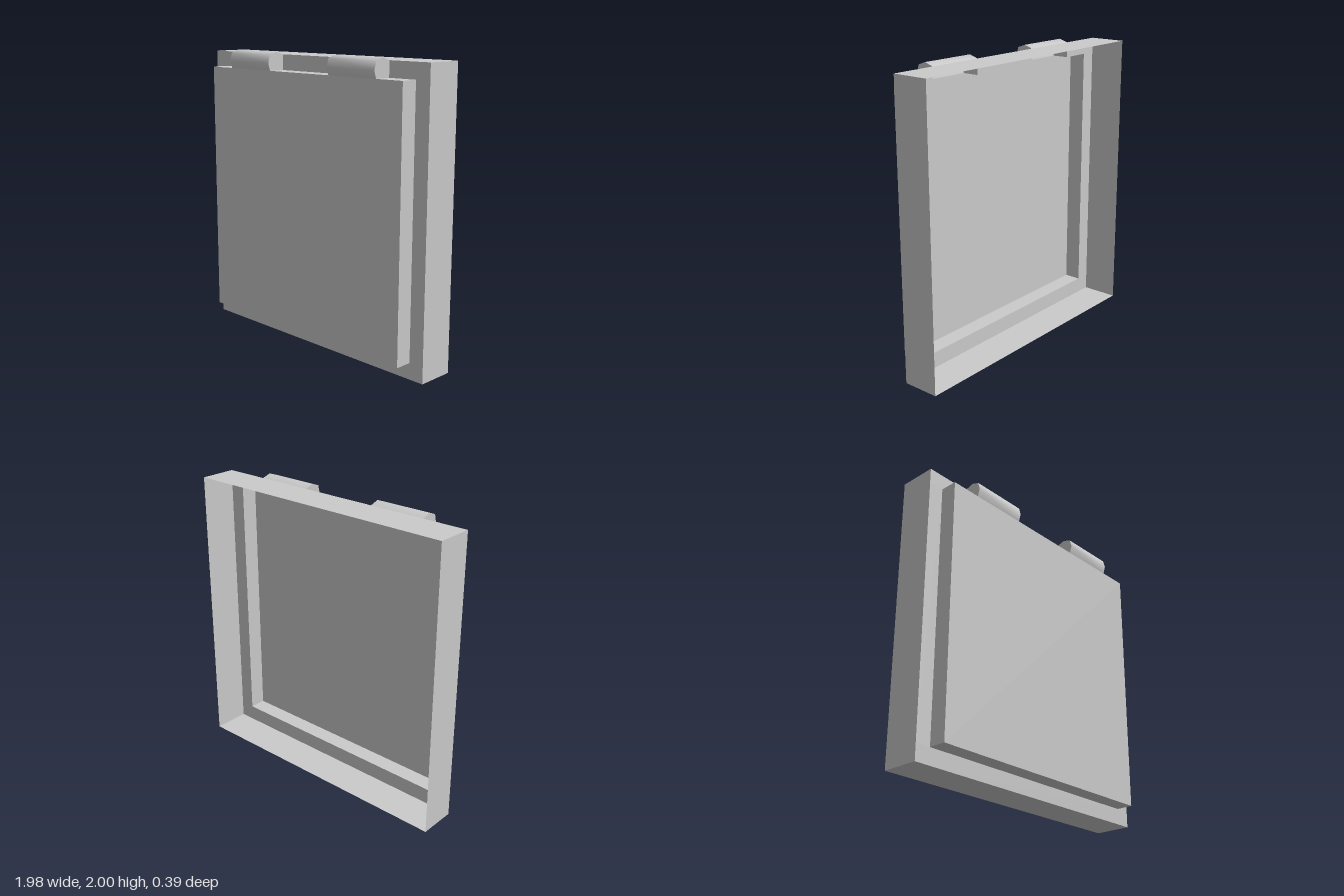
import * as THREE from 'three';

const W = 0.99, H = 1.98;             // outer rim half width and height
const P = 0.883, PB = 0.11, PT = 1.875; // panel half width, bottom, top
const BACK = -0.195, MID = 0.062, FRONT = 0.18;
const HINGES = [[-0.675, -0.275], [0.275, 0.675]];
// x ranges along the top edge left free by the hinges
const gaps = (half) => [[-half, -0.675], [-0.275, 0.275], [0.675, half]];

const material = new THREE.MeshStandardMaterial({ color: 0xcccccc, side: THREE.DoubleSide });

function mesh(name, geometry) {
  const m = new THREE.Mesh(geometry, material);
  m.name = name;
  return m;
}

// Flat four-cornered sheets, corners counter-clockwise seen from outside
function sheets(name, quads) {
  const pos = [];
  for (const [a, b, c, d] of quads) pos.push(...a, ...b, ...c, ...a, ...c, ...d);
  const g = new THREE.BufferGeometry();
  g.setAttribute('position', new THREE.Float32BufferAttribute(pos, 3));
  g.computeVertexNormals();
  return mesh(name, g);
}

const facing = (x0, x1, y0, y1, z) => [[x0, y0, z], [x1, y0, z], [x1, y1, z], [x0, y1, z]];
const topWall = (x0, x1, y, z0, z1) => [[x0, y, z1], [x1, y, z1], [x1, y, z0], [x0, y, z0]];
const bottomWall = (x0, x1, y, z0, z1) => [[x0, y, z0], [x1, y, z0], [x1, y, z1], [x0, y, z1]];
const rightWall = (x, y0, y1, z0, z1) => [[x, y0, z1], [x, y0, z0], [x, y1, z0], [x, y1, z1]];
const leftWall = (x, y0, y1, z0, z1) => [[x, y0, z0], [x, y0, z1], [x, y1, z1], [x, y1, z0]];

// Rounded hinge barrel, hollow and open towards the inside
function hinge(x0, x1) {
  const profile = [[MID, H], [0.125, 2.0], [0.181, 1.98], [0.195, 1.925], [FRONT, PT]];
  const group = new THREE.Group();
  group.name = 'hinge';

  const pos = [], index = [];
  profile.forEach(([z, y], i) => {
    pos.push(x0, y, z, x1, y, z);
    if (i) {
      const a = 2 * i - 2;
      index.push(a, a + 2, a + 3, a, a + 3, a + 1);
    }
  });
  const barrel = new THREE.BufferGeometry();
  barrel.setAttribute('position', new THREE.Float32BufferAttribute(pos, 3));
  barrel.setIndex(index);
  barrel.computeVertexNormals();
  group.add(mesh('hingeBarrel', barrel));

  // End caps: the shape lies in (-z, y) and is turned to face +x or -x
  for (const [x, side] of [[x0, -1], [x1, 1]]) {
    const outline = [...profile, [MID, PT]].map(([z, y]) => new THREE.Vector2(-side * z, y));
    const cap = new THREE.ShapeGeometry(new THREE.Shape(outline));
    cap.rotateY(side * Math.PI / 2).translate(x, 0, 0);
    group.add(mesh('hingeCap', cap));
  }
  return group;
}

export function createModel() {
  const model = new THREE.Group();
  model.name = 'hingedCover';

  // Outer rim, open at the back
  model.add(sheets('rim', [
    topWall(-W, W, H, BACK, MID),
    bottomWall(-W, W, 0, BACK, MID),
    rightWall(W, 0, H, BACK, MID),
    leftWall(-W, 0, H, BACK, MID),
  ]));

  // Front frame around the panel, notched where the hinges sit
  model.add(sheets('frame', [
    facing(-W, W, 0, PB, MID),
    facing(-W, -P, PB, PT, MID),
    facing(P, W, PB, PT, MID),
    ...gaps(W).map(([a, b]) => facing(a, b, PT, H, MID)),
  ]));

  // Raised panel with its side walls
  model.add(sheets('panel', [
    facing(-P, P, PB, PT, FRONT),
    bottomWall(-P, P, PB, MID, FRONT),
    rightWall(P, PB, PT, MID, FRONT),
    leftWall(-P, PB, PT, MID, FRONT),
    ...gaps(P).map(([a, b]) => topWall(a, b, PT, MID, FRONT)),
  ]));

  for (const [a, b] of HINGES) model.add(hinge(a, b));
  return model;
}
